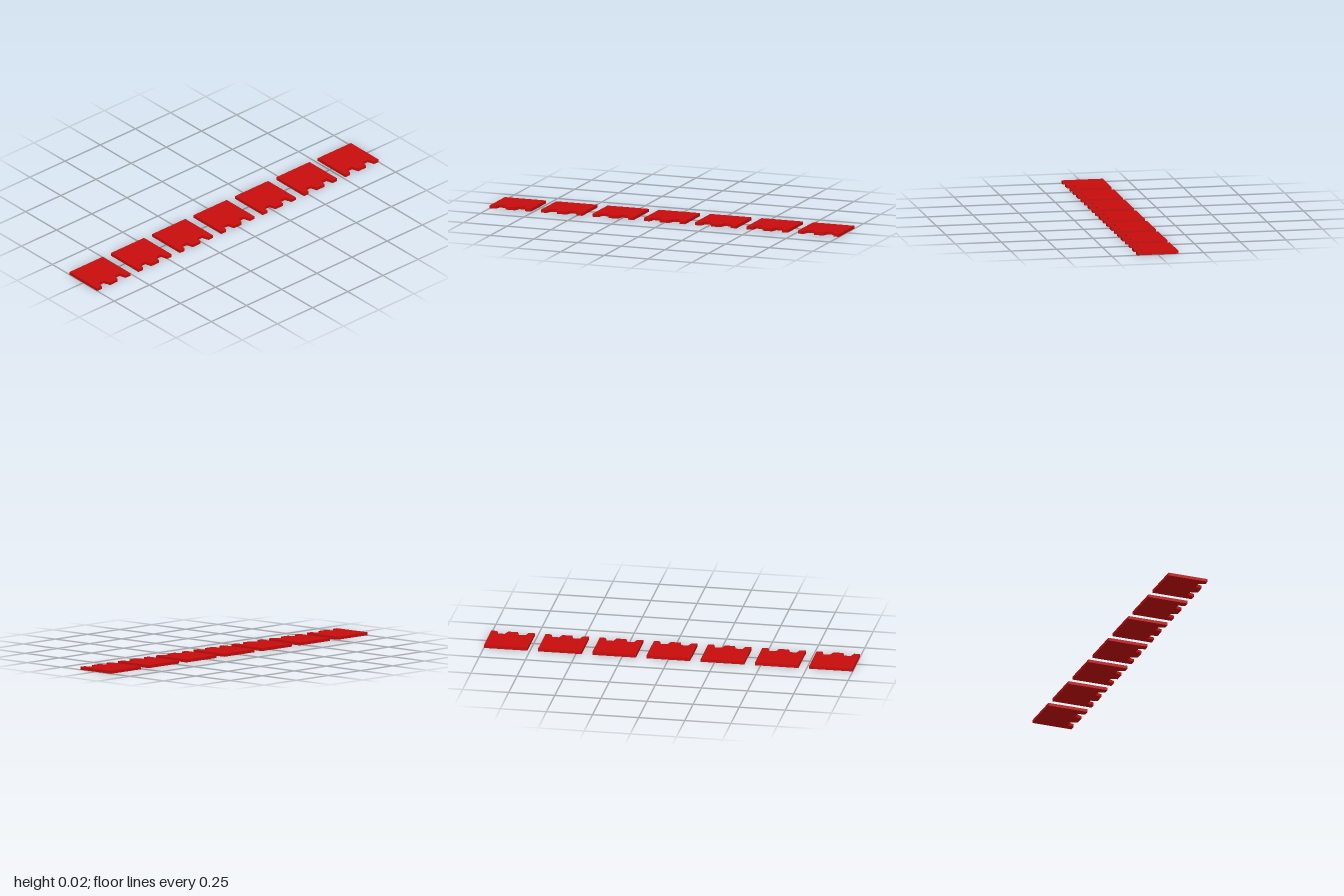
import * as THREE from 'three';

const COUNT = 7;
const LENGTH = 0.236; // along z
const HALF_WIDTH = 0.112; // along x
const HEIGHT = 0.016;
const NOTCH_X = 0.075; // floor of each notch

// Flat slab outline with two tapered notches in its +x edge
function tileGeometry() {
  const h = LENGTH / 2;
  const shape = new THREE.Shape();
  shape.moveTo(-HALF_WIDTH, -h);
  shape.lineTo(HALF_WIDTH, -h);
  for (const centre of [-0.056, 0.056]) {
    shape.lineTo(HALF_WIDTH, centre - 0.029);
    shape.lineTo(NOTCH_X, centre - 0.018);
    shape.lineTo(NOTCH_X, centre + 0.018);
    shape.lineTo(HALF_WIDTH, centre + 0.029);
  }
  shape.lineTo(HALF_WIDTH, h);
  shape.lineTo(-HALF_WIDTH, h);
  shape.closePath();
  const geometry = new THREE.ExtrudeGeometry(shape, { depth: HEIGHT, bevelEnabled: false });
  return geometry.rotateX(-Math.PI / 2);
}

export function createModel() {
  const model = new THREE.Group();
  model.name = 'notchedTileRow';
  const geometry = tileGeometry();
  const material = new THREE.MeshStandardMaterial({ color: 0xc80c0c });

  // Evenly spaced row of tiles from back to front
  const pitch = (2 - LENGTH) / (COUNT - 1);
  for (let i = 0; i < COUNT; i++) {
    const tile = new THREE.Mesh(geometry, material);
    tile.name = `notchedTile${i + 1}`;
    tile.position.z = (i - (COUNT - 1) / 2) * pitch;
    model.add(tile);
  }
  return model;
}
